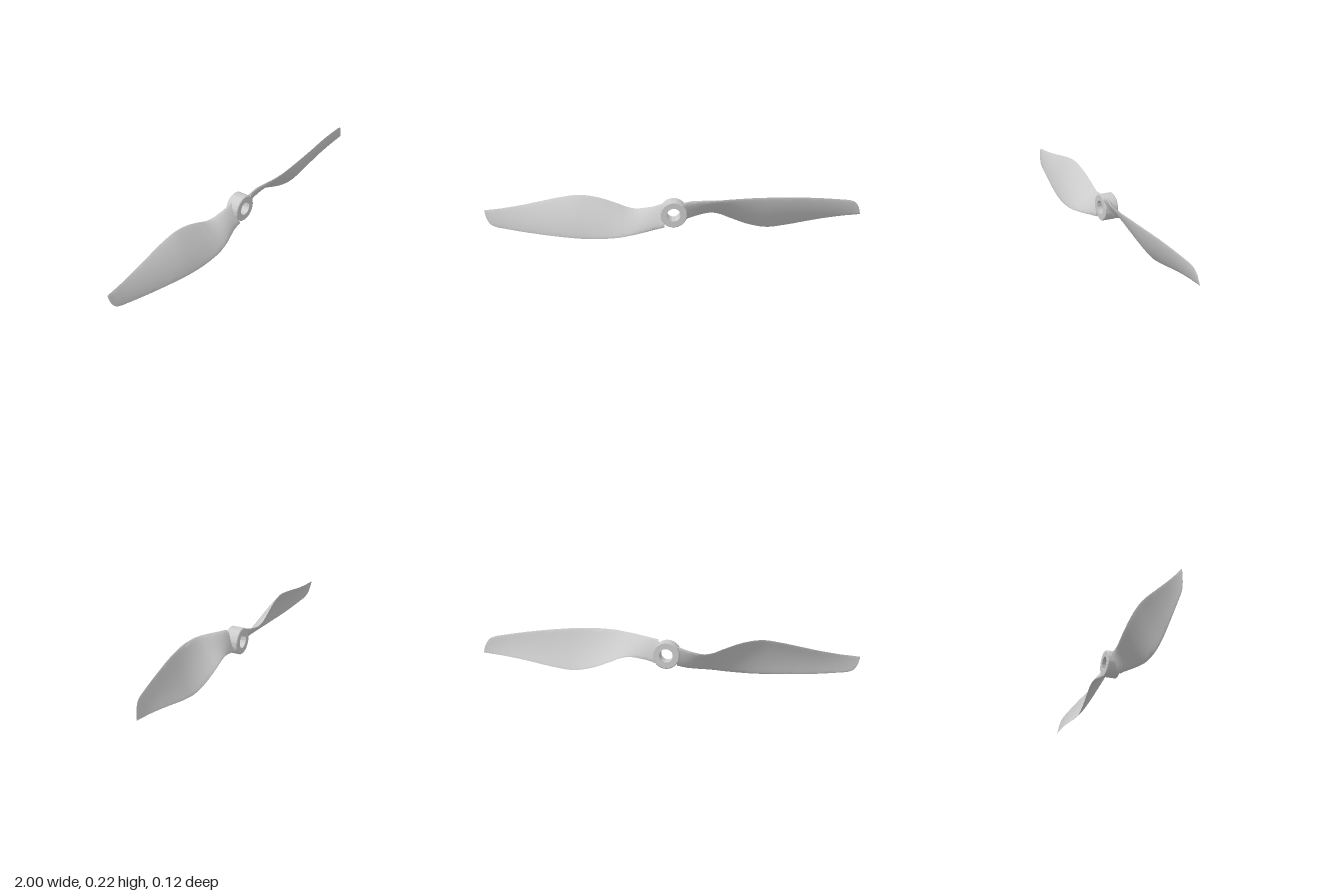
import * as THREE from 'three';
import { toCreasedNormals } from 'three/addons/utils/BufferGeometryUtils.js';

const AXIS_Y = 0.1125;

// Blade stations: x, leading edge y z, trailing edge y z, front bulge, back bulge
const STATIONS = [
  [0.05, 0.182, 0.008, 0.062, -0.045, 0.012, -0.014],
  [0.10, 0.192, 0.012, 0.080, -0.047, 0.012, -0.013],
  [0.15, 0.199, 0.027, 0.092, -0.055, 0.013, -0.010],
  [0.20, 0.205, 0.043, 0.098, -0.061, 0.014, -0.006],
  [0.25, 0.211, 0.053, 0.088, -0.064, 0.015, -0.002],
  [0.30, 0.217, 0.058, 0.067, -0.063, 0.016, 0.001],
  [0.40, 0.222, 0.057, 0.030, -0.058, 0.018, 0.004],
  [0.50, 0.221, 0.049, 0.013, -0.053, 0.018, 0.005],
  [0.60, 0.215, 0.036, 0.024, -0.052, 0.016, 0.005],
  [0.70, 0.207, 0.020, 0.043, -0.049, 0.013, 0.004],
  [0.80, 0.196, 0.005, 0.062, -0.045, 0.010, 0.003],
  [0.90, 0.182, -0.010, 0.077, -0.040, 0.007, 0.001],
  [0.94, 0.175, -0.016, 0.081, -0.038, 0.006, 0.000],
  [0.97, 0.161, -0.022, 0.084, -0.037, 0.004, 0.000],
  [0.99, 0.130, -0.029, 0.086, -0.036, 0.003, 0.000],
  [1.00, 0.092, -0.035, 0.087, -0.036, 0.001, 0.000],
];

// Smooth interpolation of every station column
function stationAt(u) {
  const last = STATIONS.length - 1;
  const i = Math.min(Math.floor(u), last - 1), t = u - i;
  const [a, b, c, d] = [i - 1, i, i + 1, i + 2].map((k) => STATIONS[THREE.MathUtils.clamp(k, 0, last)]);
  return b.map((_, k) => {
    const m0 = (c[k] - a[k]) / 2, m1 = (d[k] - b[k]) / 2;
    const t2 = t * t, t3 = t2 * t;
    return (2 * t3 - 3 * t2 + 1) * b[k] + (t3 - 2 * t2 + t) * m0 + (3 * t2 - 2 * t3) * c[k] + (t3 - t2) * m1;
  });
}

// Twisted blade lofted from aerofoil sections, closed at root and tip
function bladeGeometry() {
  const rows = 90, half = 14, n = half * 2;
  const pos = [], idx = [];
  for (let r = 0; r <= rows; r++) {
    const [x, ly, lz, ty, tz, front, back] = stationAt((r / rows) * (STATIONS.length - 1));
    const dy = ly - ty, dz = lz - tz, len = Math.hypot(dy, dz) || 1;
    for (let j = 0; j < n; j++) {
      const a = (j / n) * Math.PI * 2;
      const s = (1 + Math.cos(a)) / 2;              // 1 at leading edge, 0 at trailing edge
      const camber = ((front + back) / 2) * 4 * s * (1 - s);
      const off = camber + ((front - back) / 2) * Math.sin(a) * (0.75 + 0.25 * s);
      pos.push(x, ty + dy * s - (dz / len) * off - AXIS_Y, tz + dz * s + (dy / len) * off);
    }
  }
  for (let r = 0; r < rows; r++) {
    for (let j = 0; j < n; j++) {
      const a = r * n + j, b = r * n + ((j + 1) % n), c = a + n, d = b + n;
      idx.push(a, b, c, b, d, c);
    }
  }
  const end = rows * n;
  for (let j = 1; j < n - 1; j++) {
    idx.push(0, j + 1, j);
    idx.push(end, end + j, end + j + 1);
  }
  // Make the winding face outwards
  const at = (i) => new THREE.Vector3().fromArray(pos, i * 3);
  const mid = 45 * n, q = mid + half / 2;
  const normal = at(q + 1).sub(at(q)).cross(at(q + n).sub(at(q)));
  if (normal.z < 0) {
    for (let i = 0; i < idx.length; i += 3) [idx[i + 1], idx[i + 2]] = [idx[i + 2], idx[i + 1]];
  }
  const g = new THREE.BufferGeometry();
  g.setAttribute('position', new THREE.Float32BufferAttribute(pos, 3));
  g.setIndex(idx);
  return toCreasedNormals(g, 0.8);
}

// Bored hub with small bevels, axis along z
function hubGeometry() {
  const R = 0.071, r = 0.036, back = -0.066, front = 0.008, e = 0.004;
  const profile = [
    [r, back], [R - e, back], [R, back + e], [R, front - e], [R - e, front], [r, front], [r, back],
  ].map(([x, y]) => new THREE.Vector2(x, y));
  const g = new THREE.LatheGeometry(profile, 56);
  g.rotateX(Math.PI / 2);
  return toCreasedNormals(g, 0.6);
}

export function createModel() {
  const model = new THREE.Group();
  model.name = 'propeller';
  model.position.y = 0;
  const material = new THREE.MeshStandardMaterial({ color: 0xcccccc, side: THREE.DoubleSide });

  const hub = new THREE.Mesh(hubGeometry(), material);
  hub.name = 'hub';
  hub.position.y = AXIS_Y;
  model.add(hub);

  // Two identical blades, half a turn apart
  const blade = bladeGeometry();
  ['leftBlade', 'rightBlade'].forEach((name, i) => {
    const mesh = new THREE.Mesh(blade, material);
    mesh.name = name;
    mesh.position.y = AXIS_Y;
    mesh.rotation.z = i * Math.PI;
    model.add(mesh);
  });
  return model;
}
